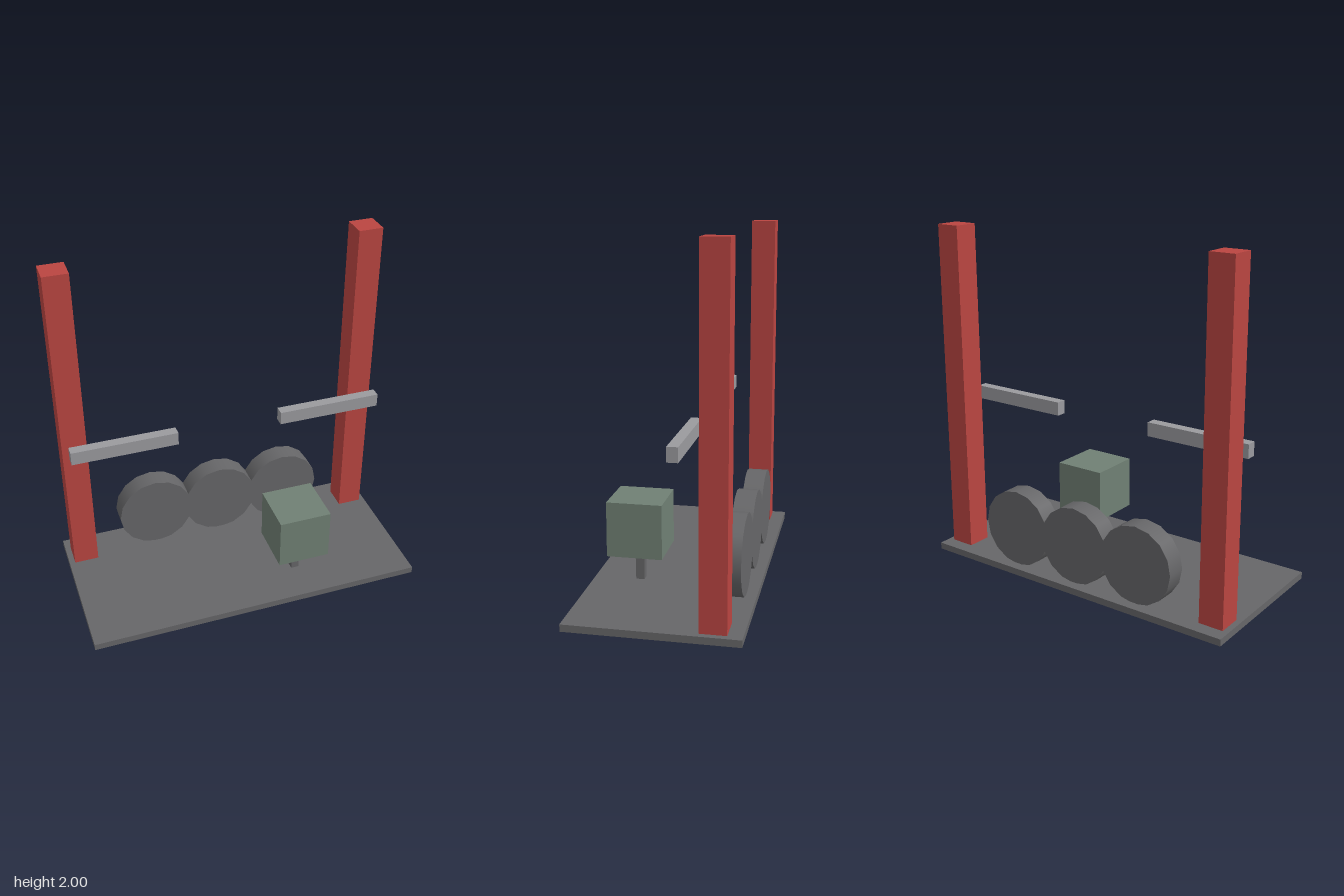
import * as THREE from 'three';

const mat = (name, color) => {
  const m = new THREE.MeshStandardMaterial({ color });
  m.name = name;
  return m;
};

export function createModel() {
  const model = new THREE.Group();
  model.name = 'gymStation';

  const darkGrey = mat('darkGrey', 0x666668);
  const red = mat('red', 0xba4541);
  const steel = mat('steel', 0x9a9a9e);
  const green = mat('green', 0x708074);

  const add = (name, geometry, material, x, y, z) => {
    const mesh = new THREE.Mesh(geometry, material);
    mesh.name = name;
    mesh.position.set(x, y, z);
    model.add(mesh);
    return mesh;
  };
  const box = (w, h, d) => new THREE.BoxGeometry(w, h, d);

  // Floor plate
  add('basePlate', box(2, 0.04, 0.942), darkGrey, 0, 0.02, 0);

  // Uprights and the bars floating in front of them
  for (const [side, s] of [['left', 1], ['right', -1]]) {
    add(side + 'Post', box(0.146, 1.96, 0.146), red, s * 0.893, 1.02, -0.317);
    add(side + 'Bar', box(0.626, 0.08, 0.06), steel, s * 0.628, 0.95, -0.108);
  }

  // Row of overlapping weight discs, axes along z
  const disc = new THREE.CylinderGeometry(0.23, 0.23, 0.12, 16).rotateX(Math.PI / 2);
  for (const i of [-1, 0, 1]) add('weightDisc', disc, darkGrey, i * 0.42, 0.265, -0.35);

  // Seat block on a short stem
  add('seatStem', box(0.048, 0.175, 0.048), darkGrey, 0.313, 0.1275, 0.21);
  add('seat', box(0.312, 0.312, 0.312), green, 0.313, 0.371, 0.21);

  return model;
}
